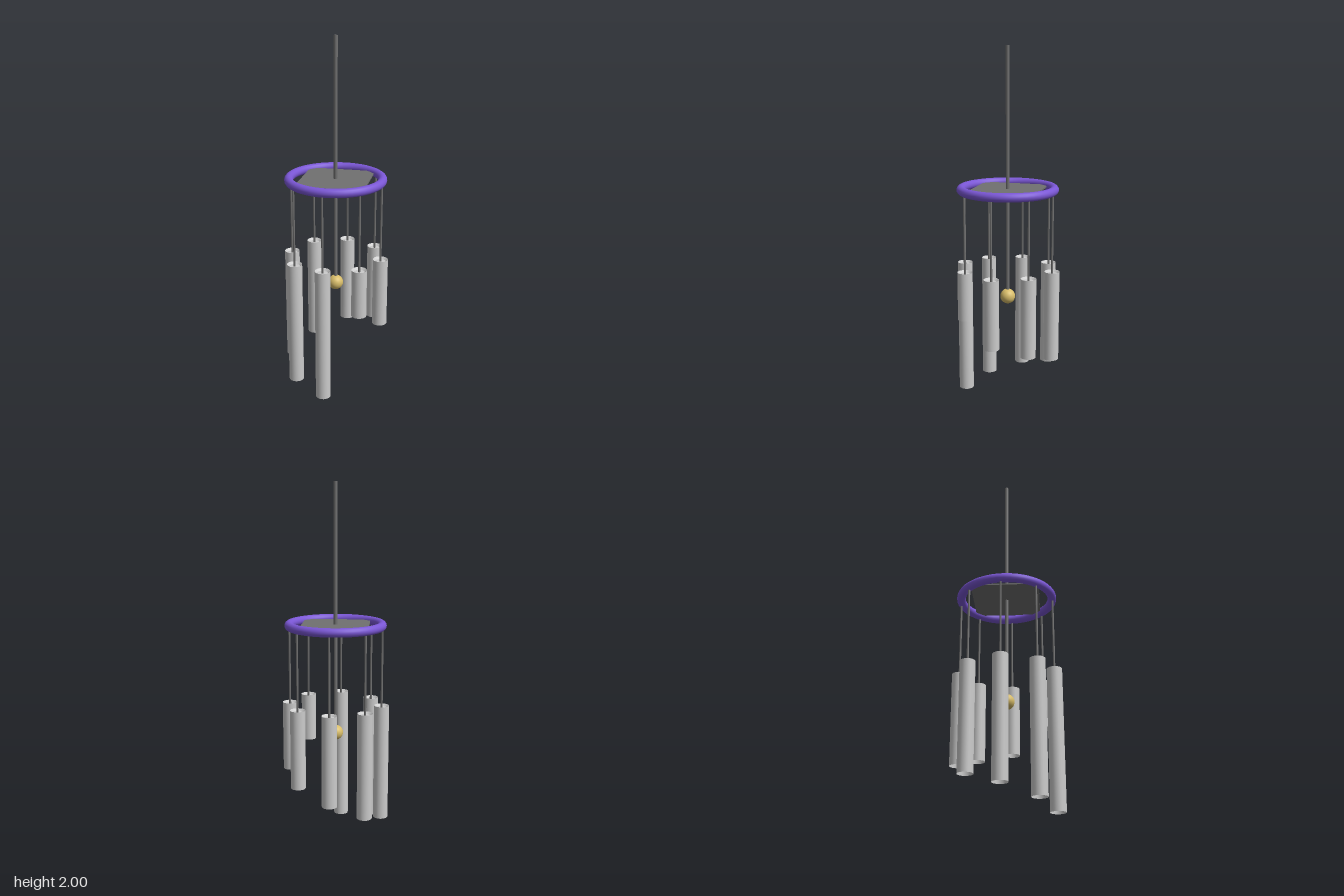
import * as THREE from 'three';

const material = (color, side = THREE.FrontSide) => new THREE.MeshStandardMaterial({ color, side });

export function createModel() {
  const root = new THREE.Group();
  root.name = 'windChime';
  const dark = material(0x707070);
  const grey = material(0xcccccc);
  const shell = material(0xcccccc, THREE.DoubleSide);

  const add = (parent, name, geometry, mat, x = 0, y = 0, z = 0) => {
    const mesh = new THREE.Mesh(geometry, mat);
    mesh.name = name;
    mesh.position.set(x, y, z);
    parent.add(mesh);
    return mesh;
  };
  // Upright round bar between two heights
  const bar = (parent, name, radius, bottom, top, mat, x = 0, z = 0) =>
    add(parent, name, new THREE.CylinderGeometry(radius, radius, top - bottom, 12), mat, x, (top + bottom) / 2, z);

  const ringY = 1.222;
  const ringRadius = 0.26;

  // Suspension ring and the square plate inside it
  const ring = add(root, 'ring', new THREE.TorusGeometry(ringRadius, 0.025, 16, 48), material(0x7b57d6), 0, ringY, 0);
  ring.rotation.x = Math.PI / 2;
  add(root, 'plate', new THREE.BoxGeometry(0.378, 0.008, 0.378), dark, 0, ringY, 0);

  // Hanging rod above, clapper cord and ball below
  bar(root, 'hangingRod', 0.011, ringY, 2, dark);
  bar(root, 'clapperCord', 0.01, 0.6, ringY, dark);
  add(root, 'clapper', new THREE.SphereGeometry(0.043, 24, 16), material(0xd8bd6a), 0, 0.6, 0);

  // Tubes around the ring, each hung on a cord: [bottom, top]
  const spans = [
    [0.375, 0.772], [0.5, 0.775], [0, 0.779], [0.04, 0.766],
    [0.1, 0.768], [0.165, 0.771], [0.255, 0.772], [0.325, 0.775],
  ];
  spans.forEach(([bottom, top], i) => {
    const angle = 0.063 + (i * Math.PI) / 4;
    const x = 0.2625 * Math.cos(angle);
    const z = 0.2625 * Math.sin(angle);
    const chime = new THREE.Group();
    chime.name = 'chime' + (i + 1);
    root.add(chime);
    bar(chime, 'cord', 0.006, top - 0.02, ringY, dark, x, z);
    add(chime, 'tube', new THREE.CylinderGeometry(0.0425, 0.0425, top - bottom, 24, 1, true), shell, x, (top + bottom) / 2, z);
    // Recessed lip and plug that hold the cord
    add(chime, 'lip', new THREE.CylinderGeometry(0.0425, 0.03, 0.012, 24, 1, true), shell, x, top - 0.006, z);
    add(chime, 'plug', new THREE.CylinderGeometry(0.03, 0.03, 0.004, 24), grey, x, top - 0.014, z);
  });

  return root;
}
